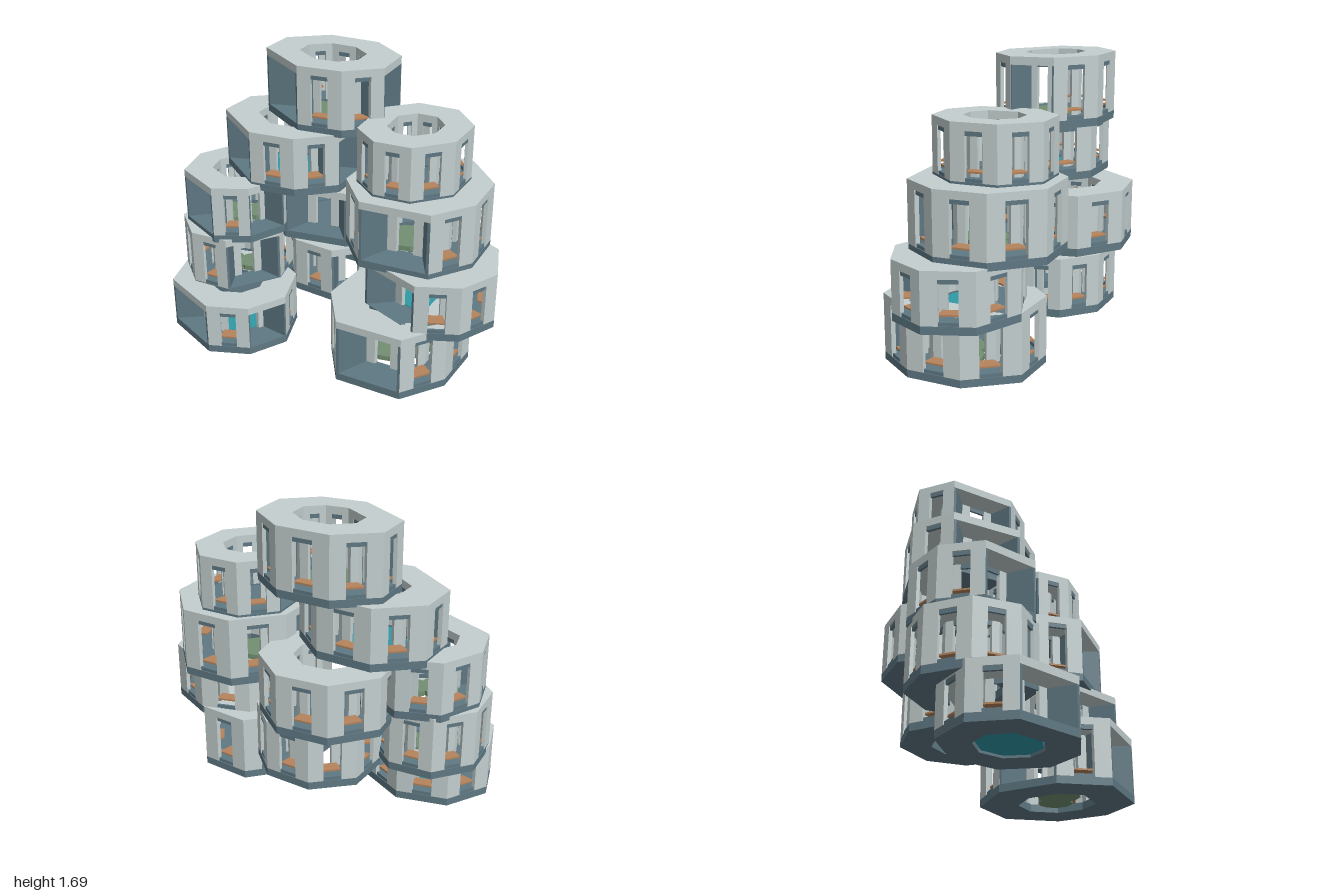
import * as THREE from 'three';
import { mergeGeometries } from 'three/addons/utils/BufferGeometryUtils.js';

const mat = (color) => new THREE.MeshStandardMaterial({ color, flatShading: true });
const concrete = mat(0xc4cfcf), slate = mat(0x5f7883), lawn = mat(0x738f72),
  water = mat(0x2f9aa6), timber = mat(0xb5835c);
const SLAB = 0.045;
// Sweep of each bay in degrees; the first, always open, is the widest
const SWEEPS = [60, 38, 40, 45, 45, 45, 45, 42];

// Stacked ring houses: base and top height, centre, half width and half depth,
// bearing of the first corner in degrees, and the bays without a facade.
const houses = [
  { name: 'rightHouse1', y: [0, 0.395], centre: [0.445, 0.025], half: [0.375, 0.435], turn: 115, open: [0, 6], court: 'lawn' },
  { name: 'rightHouse2', y: [0.35, 0.69], centre: [0.6, -0.045], half: [0.4, 0.365], turn: 138, open: [0], court: 'water' },
  { name: 'rightHouse3', y: [0.675, 1.077], centre: [0.455, -0.13], half: [0.395, 0.415], turn: 111, open: [0], court: 'lawn' },
  { name: 'rightHouse4', y: [1.045, 1.4], centre: [0.4, -0.145], half: [0.3, 0.335], turn: 200, open: [0], court: 'slate' },
  { name: 'middleHouse1', y: [0.225, 0.57], centre: [-0.15, -0.255], half: [0.35, 0.325], turn: 68, open: [0], court: 'none' },
  { name: 'middleHouse2', y: [0.575, 0.925], centre: [-0.25, -0.29], half: [0.39, 0.37], turn: 105, open: [0], court: 'slate' },
  { name: 'leftHouse1', y: [0, 0.32], centre: [-0.585, 0.3], half: [0.395, 0.355], turn: 140, open: [0, 2], court: 'water' },
  { name: 'leftHouse2', y: [0.28, 0.655], centre: [-0.675, 0.135], half: [0.325, 0.335], turn: 62, open: [0], court: 'lawn' },
  { name: 'leftHouse3', y: [0.635, 0.987], centre: [-0.655, 0.11], half: [0.325, 0.35], turn: 139, open: [0, 2], court: 'lawn' },
  { name: 'leftHouse4', y: [0.955, 1.31], centre: [-0.395, -0.07], half: [0.405, 0.35], turn: 156, open: [0, 3], court: 'water' },
  { name: 'leftHouse5', y: [1.3, 1.69], centre: [-0.2, -0.215], half: [0.4, 0.315], turn: 154, open: [0, 3], court: 'lawn' },
];

const lerp = (a, b, t) => [a[0] + (b[0] - a[0]) * t, a[1] + (b[1] - a[1]) * t];

// Eight-cornered outline that exactly fills the given half width and half depth
function outline(centre, half, turn) {
  let bearing = turn;
  const unit = SWEEPS.map((sweep) => {
    const a = THREE.MathUtils.degToRad(bearing);
    bearing -= sweep;
    return [Math.cos(a), Math.sin(a)];
  });
  const fit = (p, k) => {
    const values = unit.map((q) => q[k]);
    return centre[k] + half[k] * THREE.MathUtils.mapLinear(p[k], Math.min(...values), Math.max(...values), -1, 1);
  };
  return unit.map((p) => [fit(p, 0), fit(p, 1)]);
}

// Upright prism over a plan polygon, with an optional hole
function prism(plan, y0, y1, hole) {
  const vec = (p) => new THREE.Vector2(p[0], -p[1]);
  const shape = new THREE.Shape(plan.map(vec));
  if (hole) shape.holes.push(new THREE.Path(hole.map(vec)));
  return new THREE.ExtrudeGeometry(shape, { depth: y1 - y0, bevelEnabled: false })
    .rotateX(-Math.PI / 2).translate(0, y0, 0);
}

function buildHouse({ name, y: [base, top], centre, half, turn, open, court }) {
  const house = new THREE.Group();
  house.name = name;
  const add = (part, geometries, material) => {
    const mesh = new THREE.Mesh(mergeGeometries(geometries), material);
    mesh.name = part;
    house.add(mesh);
  };
  const plan = outline(centre, half, turn);
  const inner = plan.map((p) => lerp(centre, p, 0.5));
  const y0 = base + SLAB, y1 = top - SLAB;

  add('floorRing', [prism(plan, base, y0, inner)], slate);
  add('roofRing', [prism(plan, y1, top, inner)], concrete);

  const piers = [], frames = [], partitions = [], decks = [];
  plan.forEach((corner, i) => {
    const j = (i + 1) % plan.length;
    // u runs along the bay, v from the facade to the courtyard
    const at = (u, v) => lerp(lerp(corner, plan[j], u), lerp(inner[i], inner[j], u), v);
    const block = (u0, u1, v0, v1, a, b) =>
      prism([at(u0, v0), at(u1, v0), at(u1, v1), at(u0, v1)], a, b);

    // Courtyard wall with a doorway
    piers.push(block(0, 0.28, 0.88, 1, y0, y1), block(0.72, 1, 0.88, 1, y0, y1));
    frames.push(block(0.28, 0.72, 0.9, 0.98, y1 - 0.025, y1));

    if (open.includes(i)) {
      // Partitions closing both ends of an open bay
      partitions.push(block(0, 0.04, 0.005, 0.985, y0, y1), block(0.96, 1, 0.005, 0.985, y0, y1));
    } else {
      // Facade with a tall window, its sill and lintel, and a low timber deck
      piers.push(block(0, 0.31, 0, 0.12, y0, y1), block(0.69, 1, 0, 0.12, y0, y1));
      frames.push(block(0.31, 0.69, 0.03, 0.11, y0, y0 + 0.02),
        block(0.31, 0.69, 0.03, 0.11, y1 - 0.025, y1));
      decks.push(block(0.27, 0.73, 0.13, 0.55, base + 0.09, base + 0.1));
    }
  });
  add('piers', piers, concrete);
  add('windowFrames', frames, slate);
  add('partitions', partitions, slate);
  add('timberDecks', decks, timber);

  // Courtyard surface: pool, paving or a lawn of two overlapping beds
  if (court === 'lawn') {
    const r = Math.min(...half) * 0.34;
    const bed = (shift, size) => new THREE.CylinderGeometry(size, size, 0.03, 10)
      .translate(centre[0] + shift * 0.07, base + 0.04, centre[1] - shift * 0.05);
    add('courtyardLawn', [bed(-0.75, r), bed(0.95, r * 0.8)], lawn);
  } else if (court !== 'none') {
    const isPool = court === 'water';
    const surface = inner.map((p) => lerp(centre, p, 0.94));
    add(isPool ? 'courtyardPool' : 'courtyardPaving',
      [prism(surface, base + 0.01, base + 0.04)], isPool ? water : slate);
  }
  return house;
}

export function createModel() {
  const model = new THREE.Group();
  model.name = 'stackedRingHouses';
  houses.forEach((h) => model.add(buildHouse(h)));
  return model;
}
